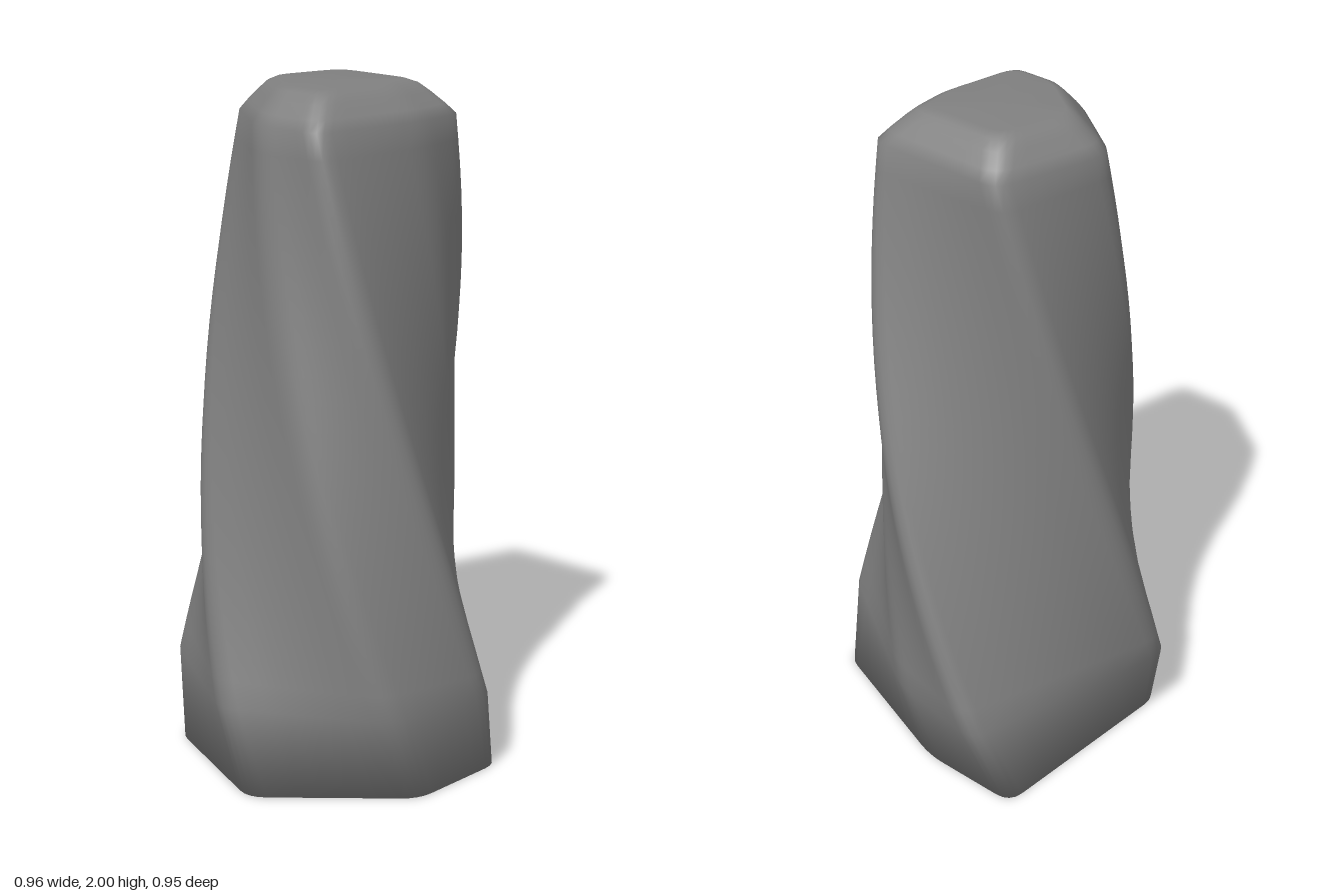
import * as THREE from 'three';

// Six ridges: angle at the base (degrees, from +x towards +z),
// radius at the foot (y = 0), above the chamfer (y = 0.25) and at the shoulder (y = 1.9)
const RIDGES = [
  [62, 0.485, 0.50, 0.325],
  [105, 0.47, 0.485, 0.29],
  [167, 0.487, 0.495, 0.34],
  [232, 0.495, 0.535, 0.355],
  [311, 0.565, 0.59, 0.345],
  [345, 0.40, 0.435, 0.24],
];
const TWIST = 44; // degrees per unit of height
const STEPS = 4; // segments in each rounded ridge
const WALL = 5; // segments across each wall between ridges
const CAP_CENTRE = new THREE.Vector3(0, 0, -0.04);

// One rounded, twisted cross-section
function section(y, inset = 1) {
  const h = Math.min(y, 1.9);
  const corners = RIDGES.map(([deg, foot, low, high]) => {
    const r = h < 0.25
      ? THREE.MathUtils.lerp(foot, low, h / 0.25)
      : THREE.MathUtils.lerp(low, high, (h - 0.25) / 1.65);
    const a = THREE.MathUtils.degToRad(deg + TWIST * h);
    const p = new THREE.Vector3(Math.cos(a) * r, 0, Math.sin(a) * r);
    return p.sub(CAP_CENTRE).multiplyScalar(inset).add(CAP_CENTRE).setY(y);
  });
  const n = corners.length;
  const arcs = corners.map((c, i) => {
    const toward = (q) => {
      const d = c.distanceTo(q);
      return c.clone().lerp(q, Math.min(0.055, d * 0.22) / d);
    };
    const a = toward(corners[(i + n - 1) % n]);
    const b = toward(corners[(i + 1) % n]);
    return new THREE.QuadraticBezierCurve3(a, c, b).getPoints(STEPS);
  });
  return arcs.flatMap((arc, i) => {
    const next = arcs[(i + 1) % n][0];
    for (let k = 1; k < WALL; k++) arc.push(arc[STEPS].clone().lerp(next, k / WALL));
    return arc;
  });
}

// Closed skin through a stack of sections, smooth over the foot and crown
function skin(rings) {
  const n = rings[0].length, index = [];
  const top = (rings.length - 1) * n, footCentre = rings.length * n;
  const points = [
    ...rings.flat(),
    new THREE.Vector3(),
    CAP_CENTRE.clone().setY(rings.at(-1)[0].y),
  ];
  for (let i = 0; i < n; i++) {
    const j = (i + 1) % n;
    for (let k = 0; k < top; k += n) {
      index.push(k + i, k + n + i, k + j, k + j, k + n + i, k + n + j);
    }
    index.push(footCentre, i, j, footCentre + 1, top + j, top + i);
  }
  const geometry = new THREE.BufferGeometry().setFromPoints(points);
  geometry.setIndex(index);
  geometry.computeVertexNormals();
  return geometry;
}

export function createModel() {
  const group = new THREE.Group();
  group.name = 'twistedRock';

  // Foot chamfer, twisted tapering column, then a bevelled, flattened crown
  const rings = [section(0), section(0.25)];
  for (let k = 1; k <= 22; k++) rings.push(section(0.25 + k * 0.075));
  for (const [y, inset] of [[1.93, 0.91], [1.965, 0.79], [1.988, 0.7], [2, 0.6]]) {
    rings.push(section(y, inset));
  }
  const column = new THREE.Mesh(skin(rings), new THREE.MeshStandardMaterial({ color: 0x808080 }));
  column.name = 'rockColumn';
  group.add(column);
  return group;
}
